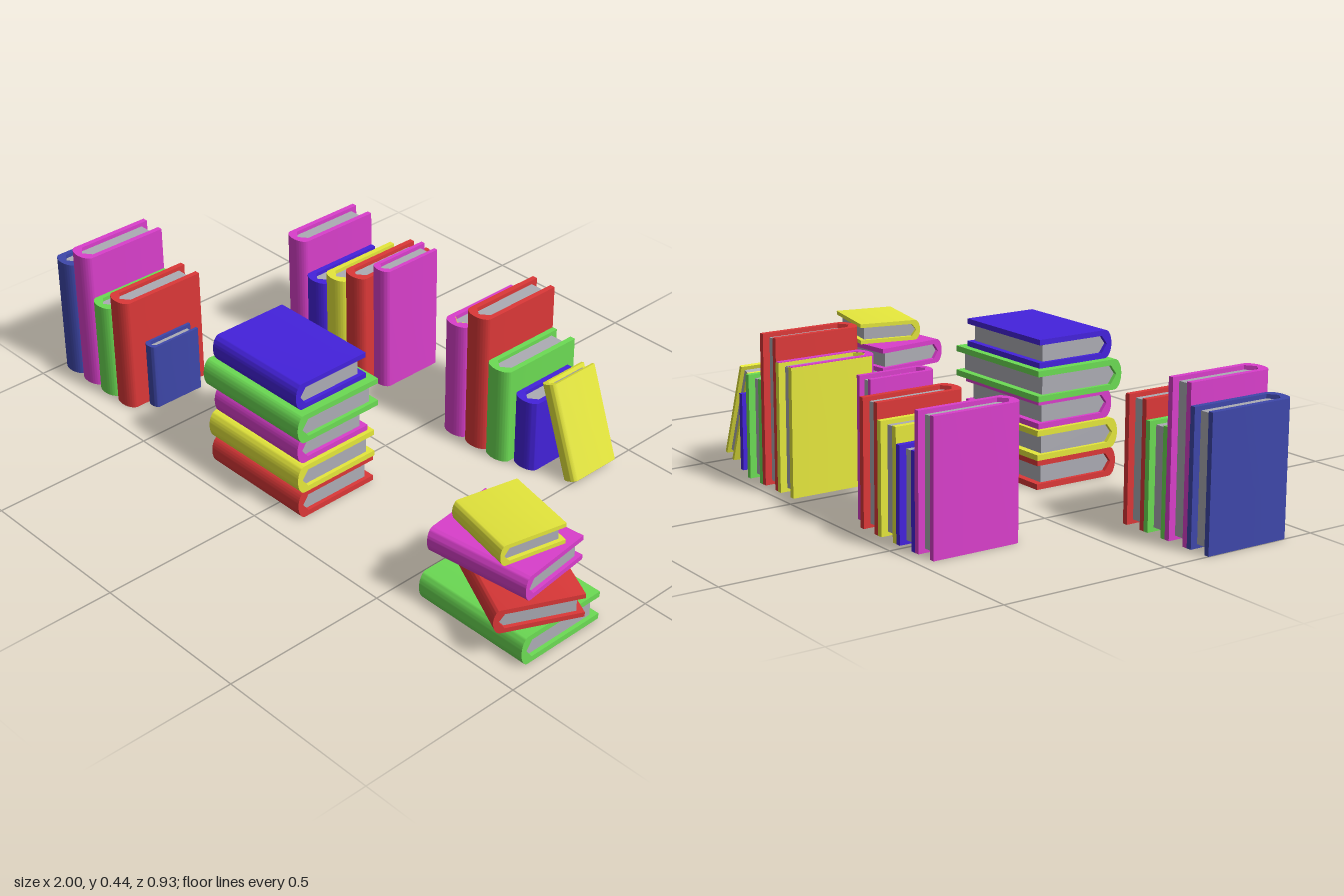
import * as THREE from 'three';
import { toCreasedNormals } from 'three/addons/utils/BufferGeometryUtils.js';

const colours = {
  red: 0xdc3838, yellow: 0xe6e83c, green: 0x6cdc54, purple: 0xd93fcb,
  blue: 0x4422dc, navy: 0x3e47aa, pages: 0xacacb4,
};

export function createModel() {
  const mats = {};
  for (const [name, color] of Object.entries(colours)) {
    mats[name] = new THREE.MeshStandardMaterial({ color });
    mats[name].name = name;
  }

  // Outline in the thickness/depth plane, raised to the book height, spine towards +z
  function raise(shape, height) {
    const geo = new THREE.ExtrudeGeometry(shape, { depth: height, bevelEnabled: false, curveSegments: 14 });
    geo.translate(0, 0, -height / 2).rotateX(-Math.PI / 2);
    return toCreasedNormals(geo, 0.6);
  }

  // One book centred on its origin: rounded cover with a pointed page block inside
  function makeBook(colour, thick, height, depth) {
    const t = thick / 2, d = depth / 2;
    const inner = t - thick * 0.19;
    const shoulder = -d + thick * 0.43, tip = -d + thick * 0.2, bulge = thick * 0.28;

    const cover = new THREE.Shape();
    cover.moveTo(-t, d);
    cover.lineTo(-t, -d + bulge);
    cover.absellipse(0, -d + bulge, t, bulge, Math.PI, 2 * Math.PI, false);
    cover.lineTo(t, d);
    cover.lineTo(inner, d);
    cover.lineTo(inner, shoulder);
    cover.lineTo(0, tip);
    cover.lineTo(-inner, shoulder);
    cover.lineTo(-inner, d);

    const edge = d - depth * 0.075;
    const pages = new THREE.Shape();
    pages.moveTo(-inner, edge);
    pages.lineTo(-inner, shoulder);
    pages.lineTo(0, tip);
    pages.lineTo(inner, shoulder);
    pages.lineTo(inner, edge);

    const book = new THREE.Group();
    book.name = colour + 'Book';
    const coverMesh = new THREE.Mesh(raise(cover, height), mats[colour]);
    coverMesh.name = 'cover';
    const pageMesh = new THREE.Mesh(raise(pages, height - 0.024), mats.pages);
    pageMesh.name = 'pages';
    book.add(coverMesh, pageMesh);
    return book;
  }

  const model = new THREE.Group();
  model.name = 'books';

  // Upright rows: [colour, left edge, right edge, height, back z, front z]
  const rows = {
    frontLeftRow: [
      ['navy', -1, -0.915, 0.38, 0.145, 0.425],
      ['purple', -0.915, -0.827, 0.44, 0.145, 0.425],
      ['green', -0.827, -0.741, 0.305, 0.145, 0.425],
      ['red', -0.741, -0.655, 0.36, 0.145, 0.425],
      ['navy', -0.655, -0.61, 0.21, 0.195, 0.365],
    ],
    backLeftRow: [
      ['purple', -0.635, -0.55, 0.38, -0.455, -0.173],
      ['blue', -0.55, -0.463, 0.27, -0.455, -0.173],
      ['yellow', -0.463, -0.375, 0.315, -0.455, -0.173],
      ['red', -0.375, -0.29, 0.36, -0.455, -0.173],
      ['purple', -0.29, -0.222, 0.4, -0.42, -0.21],
    ],
    // The yellow book sits within the purple one, showing on its left and back
    backRightRow: [
      ['purple', 0.042, 0.127, 0.375, -0.465, -0.183],
      ['yellow', 0.04, 0.125, 0.373, -0.467, -0.187],
      ['red', 0.127, 0.213, 0.44, -0.465, -0.183],
      ['green', 0.213, 0.3, 0.305, -0.465, -0.183],
      ['blue', 0.3, 0.385, 0.228, -0.44, -0.21],
    ],
  };
  for (const [name, list] of Object.entries(rows)) {
    const row = new THREE.Group();
    row.name = name;
    for (const [colour, x0, x1, h, z0, z1] of list) {
      const book = makeBook(colour, x1 - x0, h, z1 - z0);
      book.position.set((x0 + x1) / 2, h / 2, (z0 + z1) / 2);
      row.add(book);
    }
    model.add(row);
  }

  // Small book leaning against the back right row
  const leaning = makeBook('yellow', 0.052, 0.297, 0.17);
  leaning.name = 'leaningBook';
  leaning.position.set(0.447, 0.151, -0.33);
  leaning.rotation.z = THREE.MathUtils.degToRad(19.4);
  model.add(leaning);

  // Lying stacks: [colour, bottom, top, length, depth, centre x, centre z, turn in degrees]
  const stacks = {
    middleStack: [
      ['red', 0, 0.086, 0.375, 0.28, -0.087, 0.283, 0],
      ['yellow', 0.086, 0.173, 0.382, 0.285, -0.087, 0.283, 0],
      ['purple', 0.173, 0.258, 0.355, 0.26, -0.087, 0.283, 0],
      ['green', 0.258, 0.347, 0.4, 0.295, -0.087, 0.282, 0],
      ['blue', 0.347, 0.429, 0.35, 0.255, -0.087, 0.284, 0],
    ],
    rightStack: [
      ['green', 0, 0.089, 0.373, 0.29, 0.769, 0.28, 0],
      ['red', 0.092, 0.165, 0.308, 0.248, 0.807, 0.286, -26],
      ['purple', 0.166, 0.242, 0.32, 0.242, 0.751, 0.282, 6.5],
      ['yellow', 0.244, 0.308, 0.226, 0.2, 0.757, 0.277, -12.4],
    ],
  };
  for (const [name, list] of Object.entries(stacks)) {
    const stack = new THREE.Group();
    stack.name = name;
    for (const [colour, y0, y1, length, depth, x, z, turn] of list) {
      const book = makeBook(colour, y1 - y0, length, depth);
      book.rotation.set(0, THREE.MathUtils.degToRad(turn), Math.PI / 2);
      book.position.set(x, (y0 + y1) / 2, z);
      stack.add(book);
    }
    model.add(stack);
  }
  return model;
}
